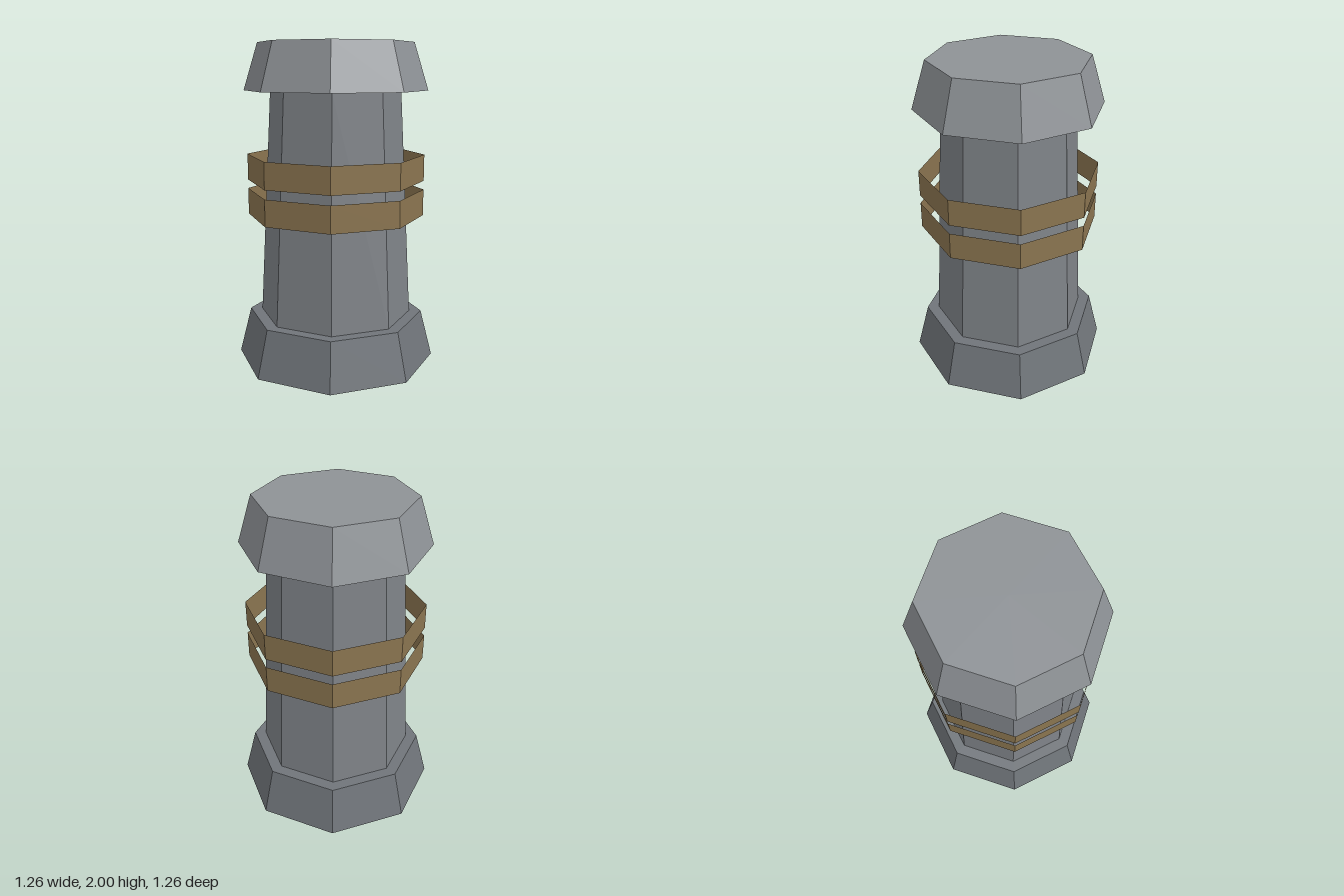
import * as THREE from 'three';

const SIDES = 8;

// Eight-sided shell turned from a [radius, height] profile, corners on the axes
function shell(name, color, profile) {
  const points = profile.map(([r, y]) => new THREE.Vector2(r, y));
  const material = new THREE.MeshStandardMaterial({
    color, flatShading: true, side: THREE.DoubleSide,
  });
  const mesh = new THREE.Mesh(new THREE.LatheGeometry(points, SIDES), material);
  mesh.name = name;
  return mesh;
}

export function createModel() {
  const group = new THREE.Group();
  group.name = 'octagonalPost';

  // Flared foot, hollow underneath
  group.add(shell('base', 0x70757a, [[0.63, 0], [0.555, 0.295], [0, 0.295]]));

  // Tapered column
  group.add(shell('shaft', 0x7f8388, [[0.48, 0.295], [0.405, 1.71]]));

  // Sloped cap, hollow underneath
  group.add(shell('cap', 0x8e9296, [[0.57, 1.71], [0.48, 2], [0, 2]]));

  // Two thin loose bands around the column
  [['lowerBand', 0.93], ['upperBand', 1.15]].forEach(([name, y]) => {
    group.add(shell(name, 0x8b7550, [[0.555, y], [0.555, y + 0.165]]));
  });

  return group;
}
